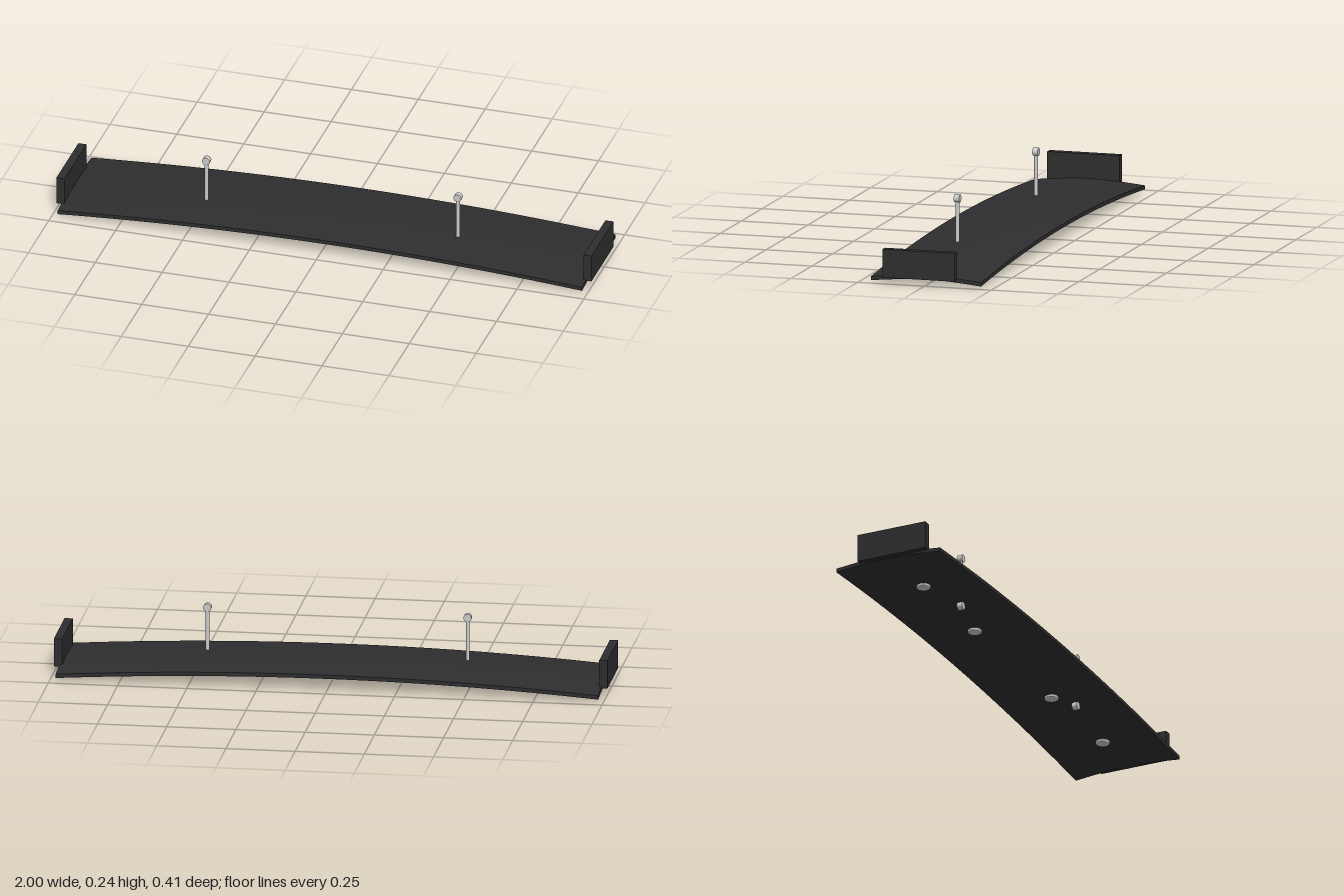
import * as THREE from 'three';

const dark = new THREE.MeshStandardMaterial({ color: 0x2e2e30 });
const grey = new THREE.MeshStandardMaterial({ color: 0xcccccc });

function add(parent, name, geometry, material, x, y, z) {
  const mesh = new THREE.Mesh(geometry, material);
  mesh.name = name;
  mesh.position.set(x, y, z);
  parent.add(mesh);
  return mesh;
}

// Thin plate, arched along its length and crowned across its width
function bladeGeometry() {
  const halfL = 0.98, halfW = 0.206, thickness = 0.014;
  const geo = new THREE.BoxGeometry(halfL * 2, thickness, halfW * 2, 40, 1, 16);
  const p = geo.attributes.position;
  for (let i = 0; i < p.count; i++) {
    const u = p.getX(i) / halfL;
    const v = Math.abs(p.getZ(i)) / halfW;
    p.setY(i, p.getY(i) + 0.066 - 0.037 * u * u - 0.015 * Math.pow(v, 1.5));
  }
  geo.computeVertexNormals();
  return geo;
}

// Flat disc with a softly rounded rim
function padGeometry() {
  const profile = [[0, 0], [0.023, 0], [0.0255, 0.002], [0.026, 0.0055], [0.0255, 0.009], [0.023, 0.011], [0, 0.011]];
  return new THREE.LatheGeometry(profile.map(([x, y]) => new THREE.Vector2(x, y)), 32);
}

export function createModel() {
  const group = new THREE.Group();
  group.name = 'wing';

  add(group, 'blade', bladeGeometry(), dark, 0, 0, 0);

  for (const [side, s] of [['left', 1], ['right', -1]]) {
    // Upright plate on the blade end
    add(group, side + 'EndPlate', new THREE.BoxGeometry(0.03, 0.103, 0.27), dark, s * 0.985, 0.0745, 0.022);

    // Support rod with a round crosswise eye at each end
    const strut = new THREE.Group();
    strut.name = side + 'Strut';
    strut.position.set(s * 0.47 - 0.003, 0, 0.043);
    group.add(strut);
    add(strut, 'rod', new THREE.CylinderGeometry(0.007, 0.007, 0.187, 20), grey, 0, 0.1285, 0);
    const eye = new THREE.CylinderGeometry(0.0145, 0.0145, 0.02, 24).rotateX(Math.PI / 2);
    add(strut, 'upperEye', eye, grey, 0, 0.2215, 0);
    add(strut, 'lowerEye', eye, grey, 0, 0.0355, 0);

    // Discs below the blade
    const pad = padGeometry();
    add(group, side + 'OuterPad', pad, grey, s * 0.733 - 0.003, 0, 0.022);
    add(group, side + 'InnerPad', pad, grey, s * 0.314 - 0.003, 0, 0.022);
  }
  return group;
}
